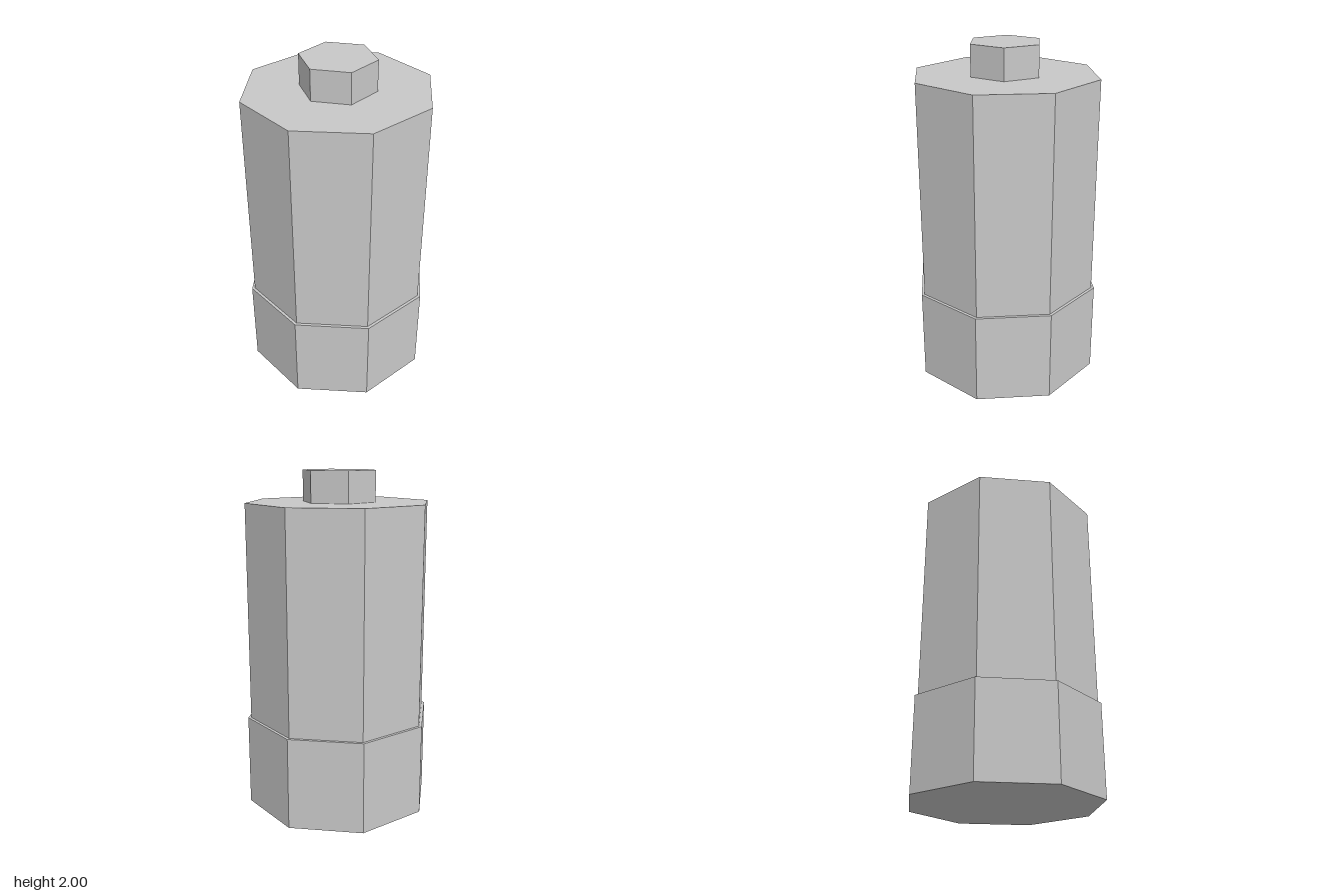
import * as THREE from 'three';

export function createModel() {
  const group = new THREE.Group();
  const grey = new THREE.MeshStandardMaterial({ color: 0xc8c8c8, flatShading: true });
  grey.name = 'light grey';

  // Upright faceted prism between two heights
  const addPrism = (name, radius, sides, bottom, top) => {
    const geometry = new THREE.CylinderGeometry(radius, radius, top - bottom, sides);
    const mesh = new THREE.Mesh(geometry, grey);
    mesh.name = name;
    mesh.position.y = (bottom + top) / 2;
    group.add(mesh);
  };

  addPrism('baseSleeve', 0.563, 8, 0, 0.545); // wider lower band
  addPrism('body', 0.545, 8, 0.545, 1.82); // main octagonal barrel
  addPrism('topTerminal', 0.218, 6, 1.82, 2); // hexagonal stud

  return group;
}
